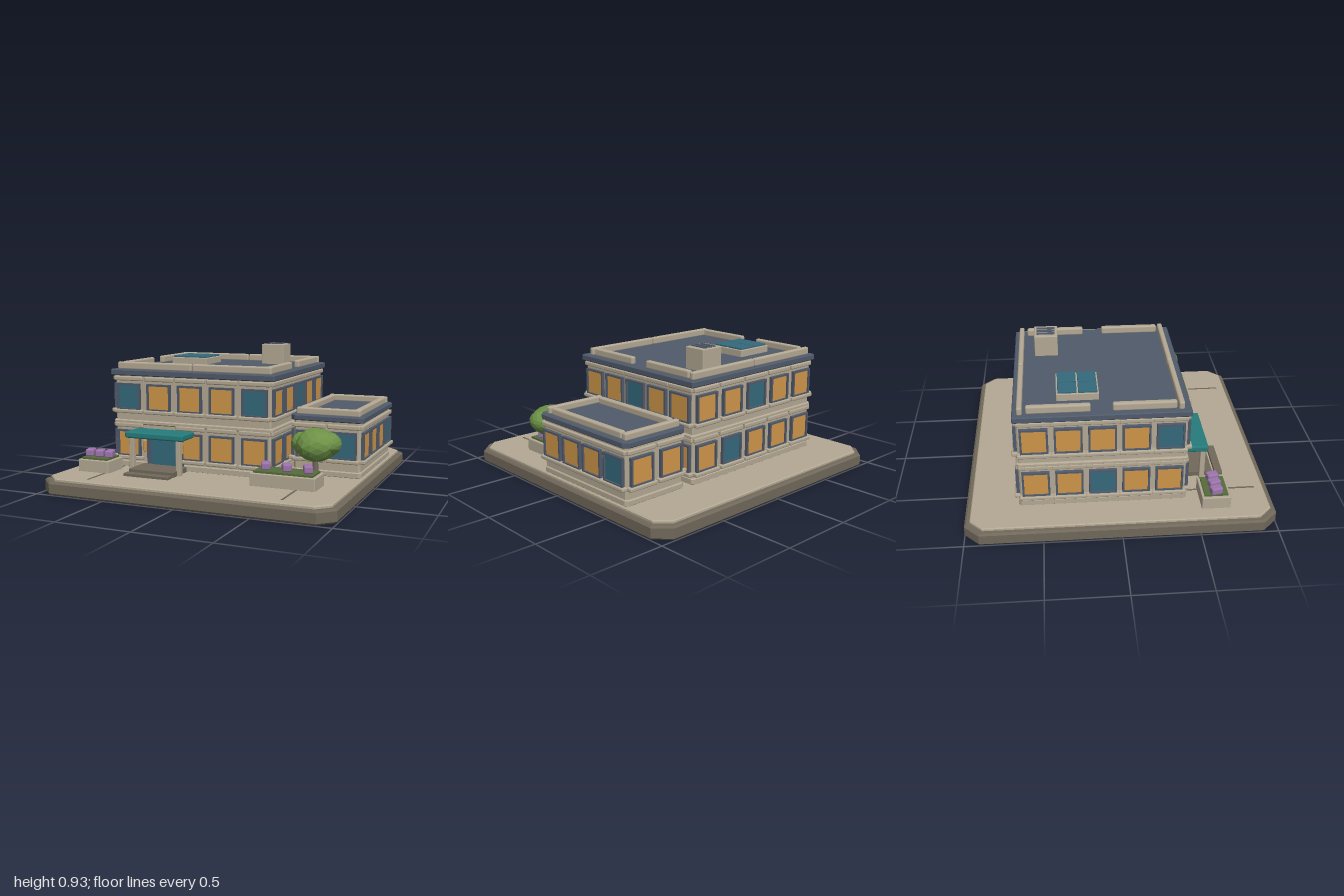
import * as THREE from 'three';
import { RoundedBoxGeometry } from 'three/addons/geometries/RoundedBoxGeometry.js';

const mat = (name, color, flatShading = false) => {
  const m = new THREE.MeshStandardMaterial({ color, flatShading });
  m.name = name;
  return m;
};

export function createModel() {
  const stone = mat('stone', 0xb3a893);
  const brown = mat('dark stone', 0x70685a);
  const navy = mat('slate', 0x505a6b);
  const orange = mat('lit glass', 0xce9549);
  const glass = mat('teal glass', 0x35697c);
  const teal = mat('canopy teal', 0x267c7c);
  const leaf = mat('leaf green', 0x6c9146, true);
  const soil = mat('planting green', 0x566d3b);
  const purple = mat('flower purple', 0x9c74ab);

  const model = new THREE.Group();
  model.name = 'officeBuilding';

  const mesh = (parent, name, geo, material, x = 0, y = 0, z = 0) => {
    const m = new THREE.Mesh(geo, material);
    m.name = name;
    m.position.set(x, y, z);
    parent.add(m);
    return m;
  };
  // Box given by its extents; r rounds the edges
  const box = (parent, name, material, [x0, x1], [y0, y1], [z0, z1], r = 0) => {
    const w = x1 - x0, h = y1 - y0, d = z1 - z0;
    const geo = r ? new RoundedBoxGeometry(w, h, d, 2, r) : new THREE.BoxGeometry(w, h, d);
    return mesh(parent, name, geo, material, (x0 + x1) / 2, (y0 + y1) / 2, (z0 + z1) / 2);
  };
  // Slab with cut corners and a small bevel
  const slab = (parent, name, material, x, z, w, d, y0, y1, cut, bevel) => {
    const a = w / 2 - bevel, b = d / 2 - bevel;
    const pts = [[a - cut, -b], [a, cut - b], [a, b - cut], [a - cut, b],
      [cut - a, b], [-a, b - cut], [-a, cut - b], [cut - a, -b]];
    const geo = new THREE.ExtrudeGeometry(new THREE.Shape(pts.map(p => new THREE.Vector2(...p))), {
      depth: y1 - y0 - 2 * bevel, bevelEnabled: bevel > 0,
      bevelThickness: bevel, bevelSize: bevel, bevelSegments: 1 });
    geo.rotateX(-Math.PI / 2);
    return mesh(parent, name, geo, material, x, y0 + bevel, z);
  };

  // Site base, paving and paving joints
  slab(model, 'base', brown, 0, 0, 2, 2, 0, 0.087, 0.09, 0.012);
  slab(model, 'paving', stone, 0, 0, 1.93, 1.93, 0.08, 0.105, 0.08, 0.006);
  for (const x of [-0.665, 0.665])
    box(model, 'pavingJoint', brown, [x - 0.006, x + 0.006], [0.1, 0.108], [0.45, 0.905]);

  // Window: frame with a hole, pane, sill and lintel; local +z points outward
  const rect = (w, h) => new THREE.Shape([[-w, -h], [w, -h], [w, h], [-w, h]]
    .map(p => new THREE.Vector2(p[0] / 2, p[1] / 2)));
  const frameShape = rect(0.178, 0.184);
  frameShape.holes.push(rect(0.152, 0.158));
  const frameGeo = new THREE.ExtrudeGeometry(frameShape, { depth: 0.022, bevelEnabled: false });
  const paneGeo = new THREE.BoxGeometry(0.156, 0.162, 0.009);
  const sillGeo = new RoundedBoxGeometry(0.218, 0.026, 0.045, 2, 0.008);
  const lintelGeo = new RoundedBoxGeometry(0.218, 0.03, 0.03, 2, 0.008);
  const addWindow = (parent, x, y, z, angle, pane) => {
    const g = new THREE.Group();
    g.name = 'window';
    g.position.set(x, y, z);
    g.rotation.y = angle;
    mesh(g, 'windowFrame', frameGeo, navy);
    mesh(g, 'windowPane', paneGeo, pane, 0, 0, 0.006);
    mesh(g, 'windowSill', sillGeo, stone, 0, -0.1, 0.012);
    mesh(g, 'windowLintel', lintelGeo, stone, 0, 0.125, 0.003);
    parent.add(g);
  };
  // Row of windows along one wall, read from the viewer's left;
  // o = lit, t = teal, any other letter leaves a blank
  const row = (parent, cx, cz, reach, y, angle, spacing, code) => {
    const s = Math.sin(angle), c = Math.cos(angle);
    [...code].forEach((k, i) => {
      if (k !== 'o' && k !== 't') return;
      const u = (i - (code.length - 1) / 2) * spacing;
      addWindow(parent, cx + s * reach + c * u, y, cz + c * reach - s * u, angle, k === 't' ? glass : orange);
    });
  };
  const FRONT = 0, LEFT = Math.PI / 2, BACK = Math.PI, RIGHT = -Math.PI / 2;

  // Main block
  const main = new THREE.Group();
  main.name = 'mainBlock';
  model.add(main);
  const cx = -0.162, cz = -0.11, W = 1.15, D = 1.07;
  slab(main, 'walls', stone, cx, cz, W, D, 0.1, 0.75, 0.01, 0);
  slab(main, 'plinth', stone, cx, cz, W + 0.02, D + 0.02, 0.1, 0.145, 0.012, 0.006);
  slab(main, 'floorBand', stone, cx, cz, W + 0.03, D + 0.025, 0.402, 0.432, 0.012, 0.007);
  slab(main, 'roof', navy, cx, cz, 1.205, 1.112, 0.738, 0.78, 0.004, 0.006);
  const lower = 0.27, upper = 0.593;
  row(main, cx, cz, D / 2, upper, FRONT, 0.233, 'tooot');
  row(main, cx, cz, D / 2, lower, FRONT, 0.233, 'o-ooo');
  row(main, cx, cz, W / 2, upper, LEFT, 0.214, 'ootoo');
  row(main, cx, cz, W / 2, lower, LEFT, 0.214, 'ooooo');
  row(main, cx, cz, D / 2, upper, BACK, 0.233, 'ootoo');
  row(main, cx, cz, D / 2, lower, BACK, 0.233, 'otooo');
  row(main, cx, cz, W / 2, upper, RIGHT, 0.214, 'oooot');
  row(main, cx, cz, W / 2, lower, RIGHT, 0.214, 'ootoo');

  // Main parapets
  const py = [0.775, 0.829];
  for (const z of [[-0.635, -0.6], [0.364, 0.4]])
    for (const x of [[-0.735, -0.168], [-0.162, 0.405]]) box(main, 'parapet', stone, x, py, z, 0.012);
  for (const x of [[-0.722, -0.684], [0.356, 0.395]])
    for (const z of [[-0.58, -0.18], [-0.045, 0.355]]) box(main, 'parapet', stone, x, py, z, 0.012);

  // Skylight
  box(main, 'skylightFrame', stone, [-0.58, -0.3], [0.775, 0.828], [-0.39, -0.12], 0.006);
  for (const x of [-0.508, -0.372])
    for (const z of [-0.32, -0.19])
      box(main, 'skylightPane', glass, [x - 0.063, x + 0.063], [0.82, 0.84], [z - 0.06, z + 0.06], 0.004);

  // Roof vent with slots
  box(main, 'roofVent', stone, [0.04, 0.21], [0.775, 0.926], [-0.525, -0.365], 0.006);
  for (const x of [0.085, 0.125, 0.165])
    box(main, 'ventSlot', navy, [x - 0.011, x + 0.011], [0.924, 0.932], [-0.507, -0.383]);

  // Entrance
  const entrance = new THREE.Group();
  entrance.name = 'entrance';
  model.add(entrance);
  box(entrance, 'doorFrame', navy, [-0.48, -0.21], [0.1, 0.337], [0.41, 0.455]);
  box(entrance, 'door', glass, [-0.44, -0.258], [0.128, 0.322], [0.454, 0.462]);
  box(entrance, 'canopy', teal, [-0.567, -0.135], [0.336, 0.38], [0.42, 0.603], 0.012);
  for (const x of [-0.525, -0.175])
    box(entrance, 'canopyPost', stone, [x - 0.017, x + 0.017], [0.1, 0.34], [0.555, 0.59], 0.005);
  for (const x of [-0.49, -0.21])
    box(entrance, 'wallLamp', orange, [x - 0.011, x + 0.011], [0.226, 0.304], [0.45, 0.475], 0.005);
  box(entrance, 'upperStep', brown, [-0.51, -0.18], [0.1, 0.14], [0.45, 0.65], 0.004);
  box(entrance, 'lowerStep', brown, [-0.51, -0.18], [0.1, 0.125], [0.67, 0.722], 0.004);

  // Side wing
  const wing = new THREE.Group();
  wing.name = 'sideWing';
  model.add(wing);
  const ax = 0.718, az = -0.218, aw = 0.455, ad = 0.835;
  slab(wing, 'wingWalls', stone, ax, az, aw, ad, 0.1, 0.48, 0.015, 0);
  slab(wing, 'wingPlinth', stone, ax, az, aw + 0.015, ad + 0.015, 0.1, 0.145, 0.015, 0.008);
  slab(wing, 'wingRoof', navy, ax, az, 0.498, 0.877, 0.468, 0.506, 0.03, 0.006);
  const wy = 0.312;
  row(wing, ax, az, ad / 2, wy, FRONT, 0.232, 'ot');
  row(wing, ax, az, aw / 2, wy, LEFT, 0.207, 'ooot');
  row(wing, ax, az, ad / 2, wy, BACK, 0.232, 'oo');
  row(wing, ax, az, aw / 2, wy, RIGHT, 0.207, 'oooo');
  for (const x of [[0.508, 0.55], [0.888, 0.93]])
    box(wing, 'wingParapet', stone, x, [0.5, 0.55], [-0.57, 0.125], 0.012);
  for (const z of [[-0.62, -0.58], [0.14, 0.178]])
    box(wing, 'wingParapet', stone, [0.5, 0.935], [0.5, 0.55], z, 0.012);

  // Planters with flowers
  const planter = (x, z, w, d, spacing, turns) => {
    const g = new THREE.Group();
    g.name = 'planter';
    g.position.set(x, 0, z);
    model.add(g);
    box(g, 'planterBox', stone, [-w / 2, w / 2], [0.1, 0.187], [-d / 2, d / 2], 0.006);
    box(g, 'planting', soil, [0.02 - w / 2, w / 2 - 0.02], [0.17, 0.2], [0.017 - d / 2, d / 2 - 0.017]);
    turns.forEach((t, i) => {
      const f = mesh(g, 'flowers', new RoundedBoxGeometry(0.058, 0.05, 0.078, 2, 0.012), purple,
        (i - 1) * spacing, 0.222, 0);
      f.rotation.y = t;
    });
  };
  planter(-0.753, 0.613, 0.235, 0.187, 0.075, [0.25, 0.3, 0.25]);
  planter(0.57, 0.555, 0.43, 0.19, 0.14, [0.35, 0.45, 0.4]);

  // Tree with faceted crown clumps
  const tree = new THREE.Group();
  tree.name = 'tree';
  model.add(tree);
  mesh(tree, 'trunk', new THREE.CylinderGeometry(0.016, 0.024, 0.22, 8), brown, 0.72, 0.21, 0.44);
  const clump = (x, y, z, rx, ry, rz, turn) => {
    const geo = new THREE.IcosahedronGeometry(1, 2);
    const p = geo.attributes.position;
    const v = new THREE.Vector3();
    for (let i = 0; i < p.count; i++) {
      v.fromBufferAttribute(p, i);
      v.multiplyScalar(1 + 0.05 * Math.sin(5 * v.x + turn) * Math.cos(4 * v.z + 3 * v.y));
      p.setXYZ(i, v.x * rx, v.y * ry, v.z * rz);
    }
    geo.computeVertexNormals();
    mesh(tree, 'crown', geo, leaf, x, y, z);
  };
  clump(0.725, 0.355, 0.44, 0.135, 0.105, 0.145, 0);
  clump(0.64, 0.36, 0.42, 0.085, 0.07, 0.085, 1);
  clump(0.8, 0.365, 0.43, 0.082, 0.075, 0.1, 2);
  clump(0.72, 0.37, 0.37, 0.09, 0.075, 0.075, 3);

  return model;
}
